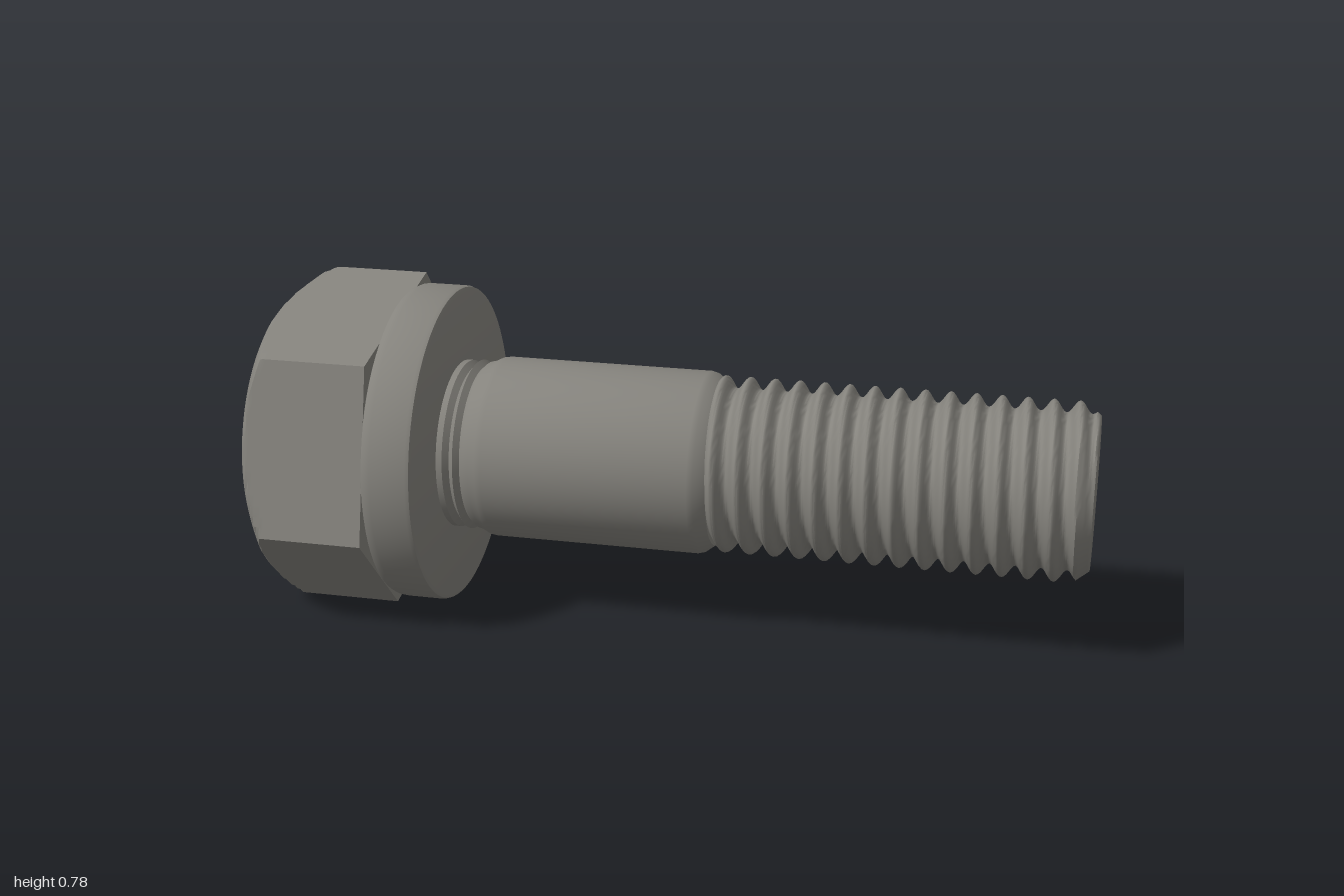
import * as THREE from 'three';
import { toCreasedNormals } from 'three/addons/utils/BufferGeometryUtils.js';

const AXIS_Y = 0.393;
const steel = new THREE.MeshStandardMaterial({ color: 0x85837d });
steel.name = 'steel grey';

// Closed skin along x: ring i sits at xs[i]; point(x, j) gives [y, z] around the axis
function skin(xs, sides, point, crease) {
  const pos = [], index = [];
  for (const x of xs) {
    for (let j = 0; j < sides; j++) pos.push(x, ...point(x, j));
  }
  const last = xs.length - 1;
  for (let i = 0; i < last; i++) {
    for (let j = 0; j < sides; j++) {
      const a = i * sides + j, b = i * sides + (j + 1) % sides;
      index.push(a, b, a + sides, b, b + sides, a + sides);
    }
  }
  // end caps
  const c = pos.length / 3;
  pos.push(xs[0], 0, 0, xs[last], 0, 0);
  for (let j = 0; j < sides; j++) {
    const k = (j + 1) % sides;
    index.push(c, k, j, c + 1, last * sides + j, last * sides + k);
  }
  const geo = new THREE.BufferGeometry();
  geo.setAttribute('position', new THREE.Float32BufferAttribute(pos, 3));
  geo.setIndex(index);
  return toCreasedNormals(geo, crease);
}

// Turned part from [x, radius] pairs, running along +x
function turned(profile, crease = 0.6) {
  const points = profile.map(([x, r]) => new THREE.Vector2(r, x));
  const geo = new THREE.LatheGeometry(points, 72);
  geo.rotateZ(-Math.PI / 2);
  return toCreasedNormals(geo, crease);
}

// Hexagonal head, its outer corners cut by a cone
function headGeometry() {
  const corners = [[46, 0.405], [110, 0.41], [158, 0.41], [227, 0.41], [289, 0.41], [338, 0.42]]
    .map(([deg, r]) => {
      const t = THREE.MathUtils.degToRad(deg);
      return new THREE.Vector2(Math.cos(t) * r, Math.sin(t) * r);
    });
  const perSide = 16;
  const limit = (x) => x < -0.9
    ? 0.33 + 0.09 * Math.sin(Math.min(1, (x + 1) / 0.08) * Math.PI / 2)
    : 0.43;
  const xs = [];
  for (let i = 0; i <= 12; i++) xs.push(-1 + i * 0.008);
  xs.push(-0.8, -0.69);
  return skin(xs, corners.length * perSide, (x, j) => {
    const side = Math.floor(j / perSide);
    const p = corners[side].clone()
      .lerp(corners[(side + 1) % corners.length], (j % perSide) / perSide);
    p.clampLength(0, limit(x));
    return [p.x, p.y];
  }, 0.5);
}

// Right-hand helical thread, fading in at the shank and chamfered at the tip
function threadGeometry() {
  const sides = 64, pitch = 0.0605, start = 0.09, end = 1, rings = 180;
  const xs = [];
  for (let i = 0; i <= rings; i++) xs.push(start + (end - start) * i / rings);
  return skin(xs, sides, (x, j) => {
    const t = j / sides * Math.PI * 2;
    const wave = Math.cos(((x - 0.166) / pitch) * Math.PI * 2 - t);
    const r = Math.min(0.2 + 0.015 * wave, 0.183 + (end - x) * 0.8);
    return [Math.cos(t) * r, Math.sin(t) * r];
  }, 0.9);
}

export function createModel() {
  const model = new THREE.Group();
  model.name = 'flangedBolt';
  const add = (name, geometry) => {
    const mesh = new THREE.Mesh(geometry, steel);
    mesh.name = name;
    mesh.position.y = AXIS_Y;
    model.add(mesh);
  };

  add('hexHead', headGeometry());

  // thin recess between head and flange
  add('headNeck', turned([[-0.7, 0], [-0.7, 0.335], [-0.67, 0.335], [-0.67, 0]]));

  add('flange', turned([
    [-0.682, 0], [-0.682, 0.375], [-0.677, 0.386], [-0.666, 0.391], [-0.655, 0.392],
    [-0.568, 0.392], [-0.559, 0.389], [-0.555, 0.38], [-0.555, 0],
  ]));

  // shoulder grooves, plain shank and its taper to the thread
  add('shank', turned([
    [-0.56, 0], [-0.56, 0.208], [-0.54, 0.208], [-0.527, 0.194], [-0.513, 0.211],
    [-0.5, 0.197], [-0.488, 0.208], [-0.475, 0.211], [-0.455, 0.221], [-0.44, 0.223],
    [0.065, 0.223], [0.08, 0.219], [0.105, 0.2], [0.105, 0],
  ]));

  add('thread', threadGeometry());
  return model;
}
